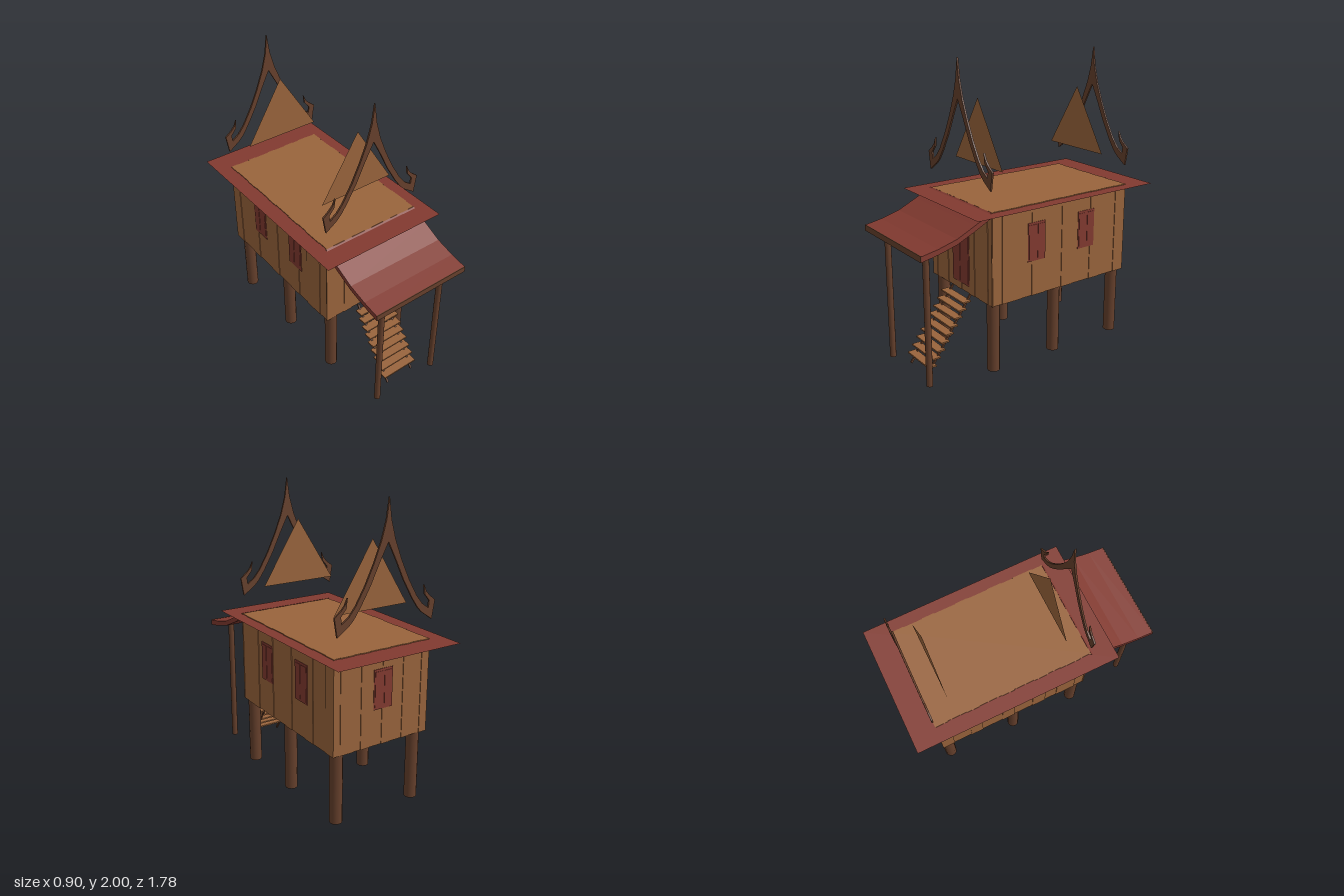
import * as THREE from 'three';

const mat = (name, color, side = THREE.FrontSide) => {
  const m = new THREE.MeshStandardMaterial({ color, side });
  m.name = name;
  return m;
};

export function createModel() {
  const root = new THREE.Group();
  root.name = 'stiltHouse';
  const wood = mat('wallWood', 0x99643c);
  const gableWood = mat('gableWood', 0x99643c, THREE.DoubleSide);
  const dark = mat('darkWood', 0x66402c);
  const red = mat('redPaint', 0x823a30, THREE.DoubleSide);

  const add = (name, geo, material, parent = root) => {
    const m = new THREE.Mesh(geo, material);
    m.name = name;
    parent.add(m);
    return m;
  };
  // box given by its minimum and maximum on each axis
  const box = (name, x0, x1, y0, y1, z0, z1, material, parent) => {
    const m = add(name, new THREE.BoxGeometry(x1 - x0, y1 - y0, z1 - z0), material, parent);
    m.position.set((x0 + x1) / 2, (y0 + y1) / 2, (z0 + z1) / 2);
    return m;
  };
  const group = (name) => {
    const g = new THREE.Group();
    g.name = name;
    root.add(g);
    return g;
  };

  // house body: a core clad in planks of slightly varied depth
  const X0 = -0.35, X1 = 0.366, Y0 = 0.48, Y1 = 1.102, Z0 = -0.725, Z1 = 0.392;
  box('houseBody', X0 + 0.006, X1 - 0.006, Y0, Y1, Z0 + 0.006, Z1 - 0.006, wood);
  const planks = group('wallPlanks');
  const cuts = [0, 0.08, 0.2, 0.28, 0.42, 0.5, 0.63, 0.72, 0.8, 0.93, 1];
  for (let i = 0; i < cuts.length - 1; i++) {
    const d = i % 2 ? 0.004 : 0;
    const xa = X0 + cuts[i] * (X1 - X0), xb = X0 + cuts[i + 1] * (X1 - X0);
    const za = Z0 + cuts[i] * (Z1 - Z0), zb = Z0 + cuts[i + 1] * (Z1 - Z0);
    box('frontPlank', xa, xb, Y0, Y1, Z1 - 0.008, Z1 - d, wood, planks);
    box('backPlank', xa, xb, Y0, Y1, Z0 + d, Z0 + 0.008, wood, planks);
    box('leftPlank', X1 - 0.008, X1 - d, Y0, Y1, za, zb, wood, planks);
    box('rightPlank', X0 + d, X0 + 0.008, Y0, Y1, za, zb, wood, planks);
  }

  // door and shuttered windows: a frame plate with two leaves
  const opening = (name, w, y0, y1, x, z, turn) => {
    const g = group(name);
    g.position.set(x, 0, z);
    g.rotation.y = turn;
    box('frame', -w / 2, w / 2, y0, y1, 0, 0.003, red, g);
    for (const s of [-1, 1]) {
      const leaf = box('leaf', -w / 4 + 0.008, w / 4 - 0.008, y0 + 0.015, y1 - 0.015, 0.003, 0.006, red, g);
      leaf.position.x = s * w / 4;
    }
  };
  opening('door', 0.195, 0.53, 0.975, 0.012, Z1, 0);
  opening('backWindow', 0.14, 0.72, 0.98, 0.005, Z0, Math.PI);
  for (const z of [0.045, -0.372]) {
    opening('leftWindow', 0.14, 0.72, 0.98, X1, z, Math.PI / 2);
    opening('rightWindow', 0.14, 0.72, 0.98, X0, z, -Math.PI / 2);
  }

  // stilts and porch posts
  const post = (name, r, x, z, y0, y1) => {
    const m = add(name, new THREE.CylinderGeometry(r, r, y1 - y0, 12), dark);
    m.position.set(x, (y0 + y1) / 2, z);
  };
  for (const x of [-0.284, 0.31])
    for (const z of [0.347, -0.147, -0.675]) post('stilt', 0.042, x, z, 0.012, 0.485);
  for (const x of [-0.232, 0.25]) post('porchPost', 0.021, x, 0.793, 0.012, 0.92);

  // flat eaves sheet
  const eaves = add('eaves', new THREE.PlaneGeometry(0.902, 1.438), red);
  eaves.rotation.x = -Math.PI / 2;
  eaves.position.set(-0.002, 1.097, -0.172);

  // curved porch roof, extruded across the house
  const top = [[0.392, 1.103], [0.51, 1.045], [0.64, 0.985], [0.77, 0.95], [0.885, 0.93]];
  const under = [[0.885, 0.893], [0.77, 0.915], [0.64, 0.95], [0.51, 1.008], [0.392, 1.068]];
  const roofShape = new THREE.Shape([...top, ...under].map(([z, y]) => new THREE.Vector2(-z, y)));
  const roof = add('porchRoof', new THREE.ExtrudeGeometry(roofShape, { depth: 0.718, bevelEnabled: false }), red);
  roof.rotation.y = Math.PI / 2;
  roof.position.x = -0.354;
  box('porchFascia', -0.354, 0.364, 0.892, 0.932, 0.884, 0.89, dark);

  // entrance ladder
  const ladder = group('ladder');
  const foot = 0.735, head = 0.395, rise = 0.48;
  for (const x of [-0.09, 0.12]) {
    const rail = add('rail', new THREE.BoxGeometry(0.012, Math.hypot(rise, foot - head), 0.012), dark, ladder);
    rail.position.set(x, rise / 2 + 0.003, (foot + head) / 2);
    rail.rotation.x = -Math.atan2(foot - head, rise);
  }
  for (let i = 0; i < 9; i++) {
    const y = 0.07 + i * 0.0475;
    const z = foot - (y / rise) * (foot - head);
    const rung = box('rung', -0.12, 0.15, y - 0.005, y + 0.005, z - 0.005, z + 0.055, wood, ladder);
    rung.rotation.z = 0.012 * Math.sin(i * 2.3);
  }

  // pointed bargeboards with upturned hooks, half outline mirrored
  const half = [
    [0.018, 1.87], [0.05, 1.755], [0.10, 1.63], [0.16, 1.505], [0.225, 1.395], [0.27, 1.34],
    [0.32, 1.305], [0.325, 1.35], [0.288, 1.395], [0.28, 1.455], [0.30, 1.412], [0.325, 1.385],
    [0.37, 1.35], [0.35, 1.23], [0.27, 1.285], [0.235, 1.32], [0.19, 1.385], [0.12, 1.505], [0.06, 1.63],
  ];
  const outline = [[0, 1.998], ...half, [0, 1.745], ...half.map(([x, y]) => [-x, y]).reverse()];
  const boardShape = new THREE.Shape(outline.map(([x, y]) => new THREE.Vector2(x, y)));
  const boardGeo = new THREE.ExtrudeGeometry(boardShape, { depth: 0.012, bevelEnabled: false });
  for (const z of [0.378, -0.734]) add('bargeboard', boardGeo, dark).position.z = z;

  // thin triangular gables set inside the bargeboards
  const gable = new THREE.ShapeGeometry(new THREE.Shape([
    new THREE.Vector2(-0.27, 1.31), new THREE.Vector2(0.27, 1.31), new THREE.Vector2(0, 1.74),
  ]));
  for (const z of [0.24, -0.585]) add('gable', gable, gableWood).position.z = z;

  return root;
}
